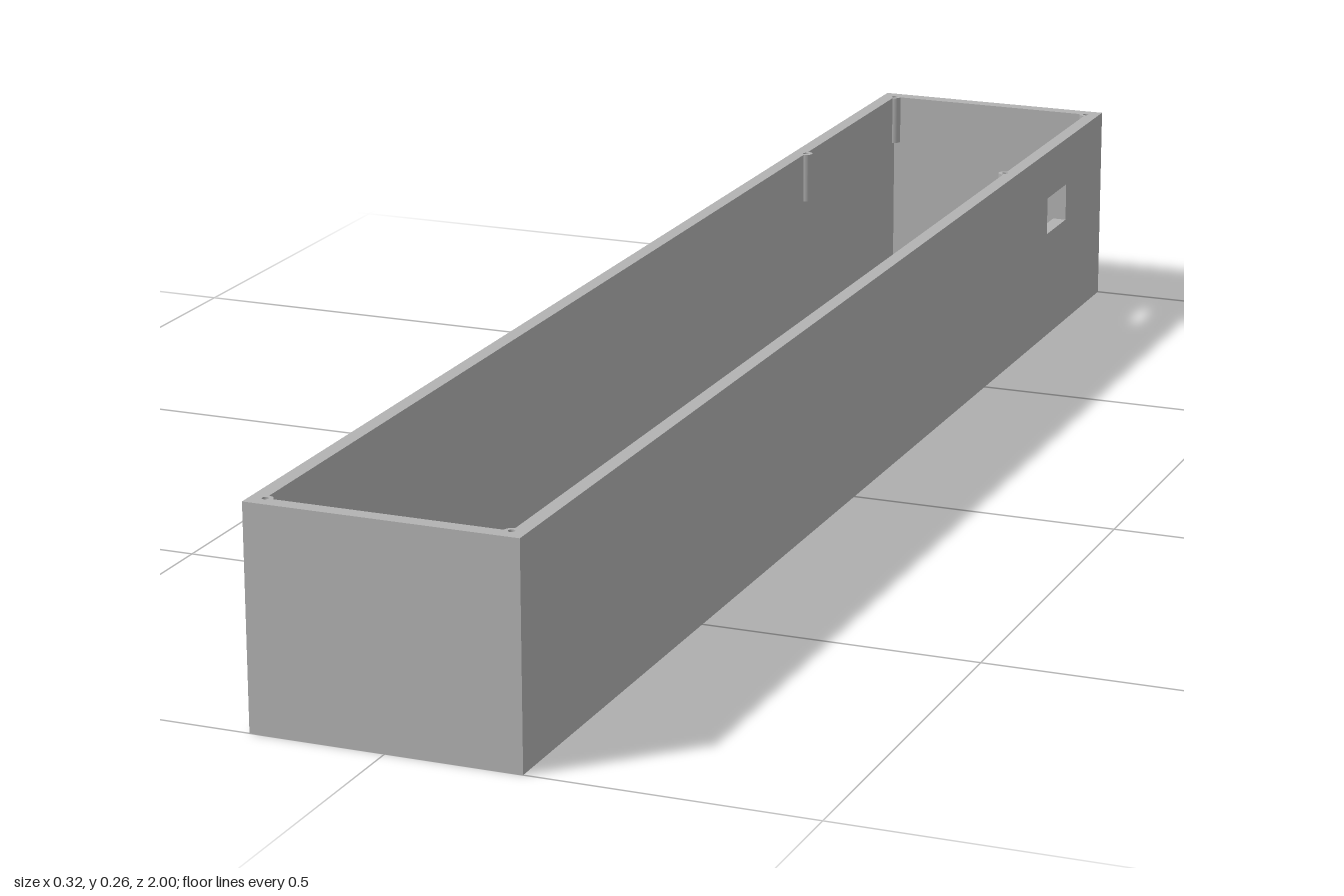
import * as THREE from 'three';

// Main dimensions
const W = 0.162, L = 1, H = 0.264;        // outer half width, half length, height
const A = 0.144, B = 0.981;               // inner half width, half length
const FLOOR = 0.018;
const WIN = { y0: 0.147, y1: 0.198, z0: -0.84, z1: -0.757 };
const BOSS_R = 0.009, PILOT_R = 0.004, MID_Z = -0.625;

const polygon = (points, Type = THREE.Shape) => new Type(points.map(([x, y]) => new THREE.Vector2(x, y)));
const rect = (w, l, Type) => polygon([[-w, -l], [w, -l], [w, l], [-w, l]], Type);
const circle = (x, y, r) => new THREE.Path().absarc(x, y, r, 0, Math.PI * 2, false);

// Extrudes a plan (x, -z) upwards from y0 to y1
function layer(name, shape, y0, y1, material) {
  const geometry = new THREE.ExtrudeGeometry(shape, { depth: y1 - y0, bevelEnabled: false, curveSegments: 24 });
  geometry.rotateX(-Math.PI / 2).translate(0, y0, 0);
  const mesh = new THREE.Mesh(geometry, material);
  mesh.name = name;
  return mesh;
}

export function createModel() {
  const group = new THREE.Group();
  group.name = 'openEnclosure';
  const grey = new THREE.MeshStandardMaterial({ color: 0xb2b2b2 });
  grey.name = 'plainGrey';

  // Floor with a round cable hole
  const floor = rect(W, L);
  floor.holes.push(circle(-0.093, 0, 0.05));
  group.add(layer('floor', floor, 0, FLOOR, grey));

  // Plain wall ring up to the window sill
  const lower = rect(W, L);
  lower.holes.push(rect(A, B, THREE.Path));
  group.add(layer('lowerWalls', lower, FLOOR, WIN.y0, grey));

  // Wall ring interrupted by the window in the left wall
  const n = -WIN.z1, f = -WIN.z0;
  const middle = polygon([
    [W, f], [W, L], [-W, L], [-W, -L], [W, -L], [W, n],
    [A, n], [A, -B], [-A, -B], [-A, B], [A, B], [A, f],
  ]);
  group.add(layer('windowWalls', middle, WIN.y0, WIN.y1, grey));

  // Top ring with screw bosses bulging inwards: x, -z, arc start, arc end (quarter turns)
  const bosses = [
    [A, -MID_Z, -1, -3], [A, B, -1, -2], [-A, B, 0, -1],
    [-A, -MID_Z, 1, -1], [-A, -B, 1, 0], [A, -B, 2, 1],
  ];
  const upper = rect(W, L);
  const inner = new THREE.Path();
  for (const [x, y, start, end] of bosses) {
    inner.absarc(x, y, BOSS_R, start * Math.PI / 2, end * Math.PI / 2, true);
    upper.holes.push(circle(x, y, PILOT_R));
  }
  inner.closePath();
  upper.holes.push(inner);
  group.add(layer('upperWallsWithBosses', upper, WIN.y1, H, grey));

  return group;
}
